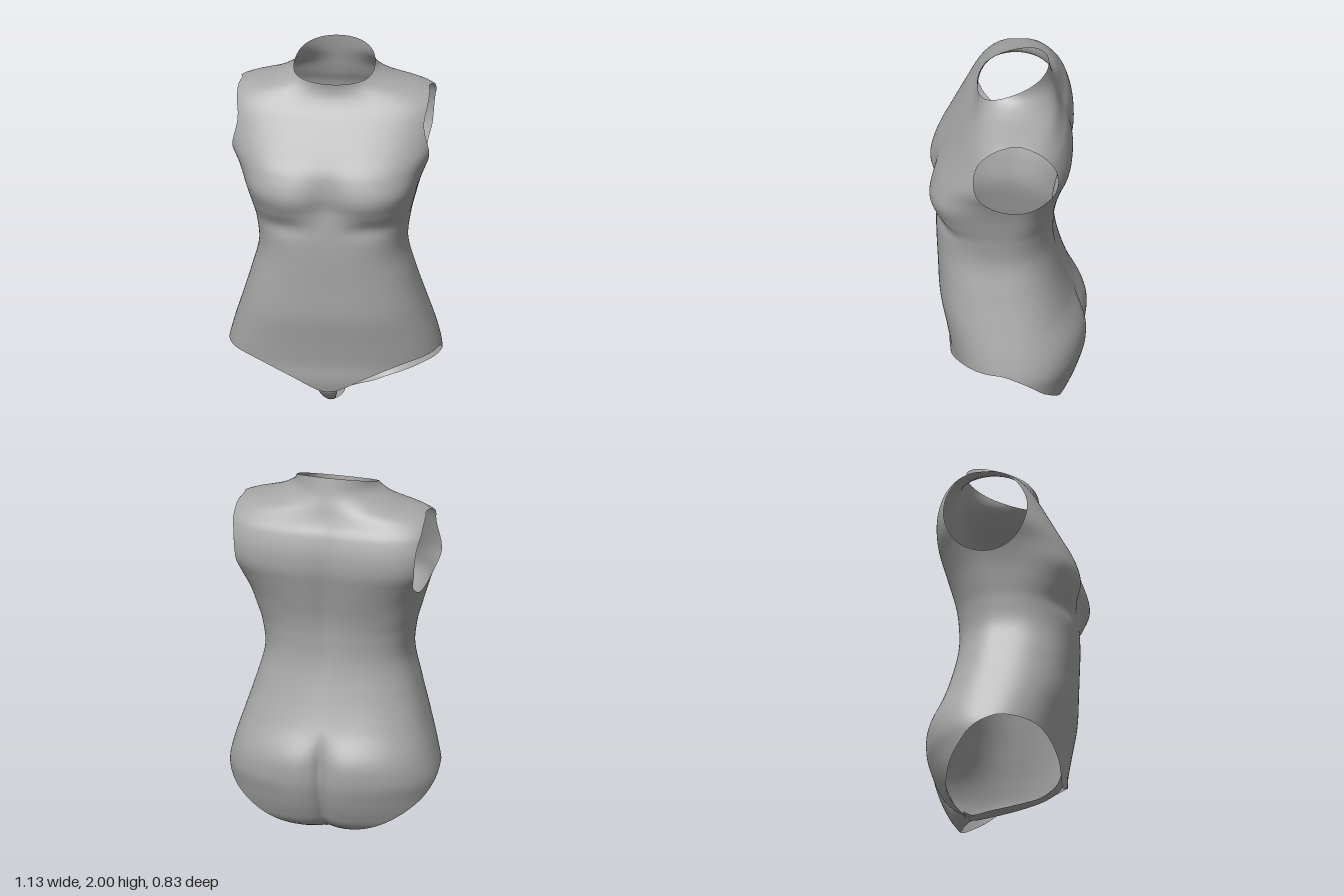
import * as THREE from 'three';
import { mergeVertices } from 'three/addons/utils/BufferGeometryUtils.js';

// Body levels: height, half width, front z, back z, front squareness, back squareness, z of widest point
const LEVELS = [
  [0.00, 0.50, 0.20, -0.22, 2.0, 2.1, -0.04],
  [0.05, 0.52, 0.24, -0.31, 2.0, 2.1, -0.04],
  [0.12, 0.54, 0.28, -0.355, 2.1, 2.1, -0.04],
  [0.22, 0.56, 0.31, -0.395, 2.3, 2.1, -0.04],
  [0.32, 0.567, 0.315, -0.418, 2.4, 2.2, -0.04],
  [0.44, 0.54, 0.335, -0.412, 2.5, 2.3, -0.03],
  [0.60, 0.49, 0.365, -0.335, 2.6, 2.4, -0.01],
  [0.78, 0.435, 0.375, -0.278, 2.6, 2.4, 0.02],
  [0.95, 0.393, 0.383, -0.246, 2.6, 2.4, 0.03],
  [1.10, 0.408, 0.386, -0.248, 2.7, 2.4, 0.02],
  [1.20, 0.432, 0.395, -0.262, 3.3, 2.5, 0.00],
  [1.30, 0.46, 0.418, -0.288, 3.7, 2.6, -0.02],
  [1.40, 0.50, 0.392, -0.315, 3.4, 2.9, -0.04],
  [1.50, 0.555, 0.337, -0.340, 3.1, 3.3, -0.04],
  [1.60, 0.575, 0.28, -0.342, 3.0, 3.4, -0.04],
  [1.70, 0.575, 0.222, -0.318, 3.0, 3.2, -0.04],
  [1.75, 0.56, 0.192, -0.292, 2.8, 2.9, -0.04],
  [1.80, 0.505, 0.17, -0.272, 2.2, 2.4, -0.04],
  [1.845, 0.34, 0.165, -0.258, 2.0, 2.1, -0.04],
  [1.91, 0.226, 0.178, -0.236, 2.0, 2.0, -0.035],
  [2.01, 0.205, 0.19, -0.213, 2.0, 2.0, -0.03],
];
// Leg opening hems: distance from the middle, height
const FRONT_HEM = [[0, 0.165], [0.05, 0.175], [0.2, 0.25], [0.4, 0.325], [0.57, 0.355]];
const BACK_HEM = [[0, 0.005], [0.1, 0.015], [0.2, 0.035], [0.36, 0.1], [0.5, 0.2], [0.57, 0.29]];

// Smooth interpolation of one column of a table keyed by its first column
function sample(table, t, col) {
  const last = table.length - 1;
  let i = 0;
  while (i < last - 1 && t > table[i + 1][0]) i++;
  const slope = (k) => {
    const a = table[Math.max(0, k - 1)], b = table[Math.min(last, k + 1)];
    return (b[col] - a[col]) / (b[0] - a[0]);
  };
  const p = table[i], q = table[i + 1], h = q[0] - p[0];
  const s = Math.min(1, Math.max(0, (t - p[0]) / h)), s2 = s * s, s3 = s2 * s;
  return (2 * s3 - 3 * s2 + 1) * p[col] + (s3 - 2 * s2 + s) * h * slope(i)
    + (3 * s2 - 2 * s3) * q[col] + (s3 - s2) * h * slope(i + 1);
}

const bump = (v, centre, width) => Math.exp(-(((v - centre) / width) ** 2));

// Point on the body at a height and an angle around it
function bodyPoint(y, angle) {
  const [hw, front, back, nf, nb, zc] = [1, 2, 3, 4, 5, 6].map((c) => sample(LEVELS, y, c));
  const c = Math.cos(angle), s = Math.sin(angle), n = s > 0 ? nf : nb;
  const r = 1 / (Math.abs(c) ** n + Math.abs(s) ** n) ** (1 / n);
  const x = hw * c * r;
  let z = zc + (s > 0 ? front - zc : zc - back) * s * r;
  if (s > 0) {
    // hollow between the breasts, and the fold beneath each
    z -= 0.03 * s * bump(x, 0, 0.1) * bump(y, 1.28, 0.13);
    z -= 0.022 * s * bump(Math.abs(x), 0.24, 0.13) * bump(y, 1.11, 0.05);
    z += 0.012 * s * bump(Math.abs(x), 0.22, 0.12) * bump(y, 1.24, 0.06);
  } else {
    // spine groove and the cleft of the seat
    z += 0.022 * bump(x, 0, 0.07) * bump(y, 1.25, 0.45);
    const low = THREE.MathUtils.smoothstep(0.6 - y, 0, 0.22);
    z += low * (0.03 * bump(x, 0, 0.022) + 0.035 * bump(x, 0, 0.08));
  }
  return new THREE.Vector3(x, y, z);
}

// Positive where the shell exists, negative inside an opening
function keep(p) {
  const x = Math.abs(p.x);
  const arm = (Math.hypot(p.z + 0.045, p.y - 1.575) - 0.225);
  const toBack = THREE.MathUtils.smoothstep(0.05 - p.z, 0, 0.22);
  const hem = THREE.MathUtils.lerp(sample(FRONT_HEM, x, 1), sample(BACK_HEM, x, 1), toBack);
  const neck = 1.86 + (0.175 - p.z) * 0.36 - p.y;
  return Math.min(arm, p.y - hem, neck);
}

// Adds the part of a triangle that lies outside the openings
function addClipped(out, tri) {
  const poly = [];
  tri.forEach((a, i) => {
    const b = tri[(i + 1) % 3];
    if (a.k >= 0) poly.push(a.p);
    if ((a.k >= 0) !== (b.k >= 0)) {
      // cut from the kept end so that neighbours agree
      const [u, v] = a.k >= 0 ? [a, b] : [b, a];
      poly.push(u.p.clone().lerp(v.p, u.k / (u.k - v.k)));
    }
  });
  for (let i = 1; i + 1 < poly.length; i++) {
    for (const p of [poly[0], poly[i], poly[i + 1]]) out.push(p.x, p.y, p.z);
  }
}

function smoothGeometry(positions) {
  let g = new THREE.BufferGeometry();
  g.setAttribute('position', new THREE.Float32BufferAttribute(positions, 3));
  g = mergeVertices(g, 1e-5);
  g.computeVertexNormals();
  return g;
}

// Torso shell with neck, arm and leg openings
function torsoGeometry() {
  const rows = 130, cols = 180, top = 2.01, grid = [], out = [];
  for (let i = 0; i <= rows; i++) {
    const row = [];
    for (let j = 0; j < cols; j++) {
      const p = bodyPoint((i / rows) * top, (j / cols) * Math.PI * 2);
      row.push({ p, k: keep(p) });
    }
    grid.push(row);
  }
  for (let i = 0; i < rows; i++) {
    for (let j = 0; j < cols; j++) {
      const n = (j + 1) % cols;
      const a = grid[i][j], b = grid[i][n], c = grid[i + 1][n], d = grid[i + 1][j];
      addClipped(out, [a, d, b]);
      addClipped(out, [b, d, c]);
    }
  }
  return smoothGeometry(out);
}

// Narrow strip joining front to back between the leg openings
function gussetGeometry() {
  const path = new THREE.CatmullRomCurve3([
    [0.055, 0.19, 0.297], [0.045, 0.14, 0.27], [0.03, 0.085, 0.19], [0.038, 0.045, 0.05],
    [0.042, 0.02, -0.08], [0.035, 0.004, -0.18], [0.05, 0.02, -0.225],
  ].map((v) => new THREE.Vector3(...v)));
  const out = [], steps = 30, across = 6;
  const point = (i, j) => {
    const p = path.getPoint(i / steps), t = (j / across) * 2 - 1;
    return [p.x * t, p.y + 0.012 * t * t, p.z];
  };
  for (let i = 0; i < steps; i++) {
    for (let j = 0; j < across; j++) {
      const a = point(i, j), b = point(i, j + 1), c = point(i + 1, j + 1), d = point(i + 1, j);
      out.push(...a, ...d, ...b, ...b, ...d, ...c);
    }
  }
  return smoothGeometry(out);
}

export function createModel() {
  const model = new THREE.Group();
  model.name = 'torsoForm';
  const grey = new THREE.MeshStandardMaterial({ color: 0xa8a8a8, side: THREE.DoubleSide });
  grey.name = 'plain grey';
  const add = (name, geometry) => {
    const mesh = new THREE.Mesh(geometry, grey);
    mesh.name = name;
    model.add(mesh);
  };
  add('torsoShell', torsoGeometry());
  add('gusset', gussetGeometry());
  return model;
}
